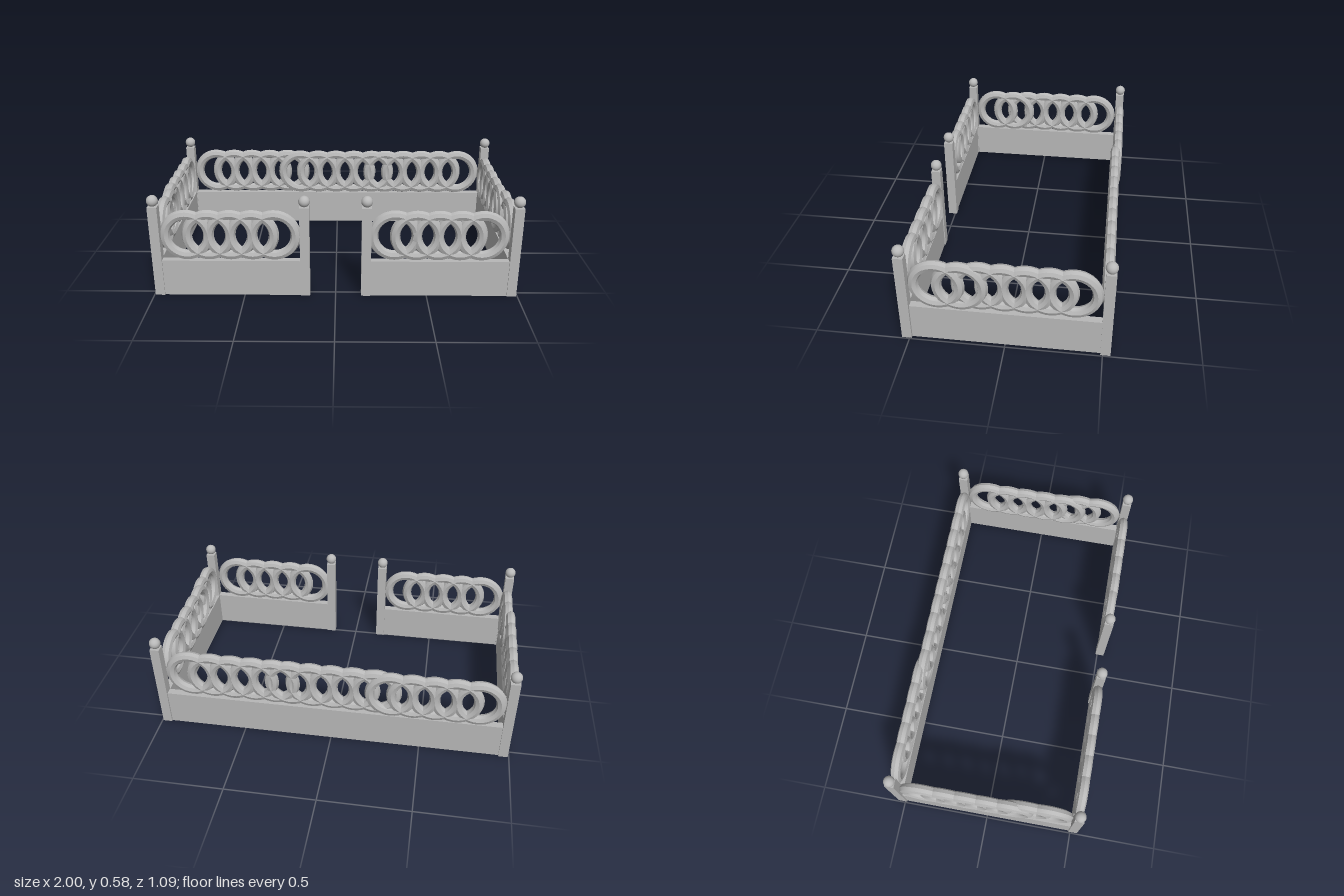
import * as THREE from 'three';
import { toCreasedNormals } from 'three/addons/utils/BufferGeometryUtils.js';

const POST_X = 0.968, POST_Z = 0.515, GATE_X = 0.166;
const POST_W = 0.052, POST_H = 0.52, WALL_H = 0.208, WALL_T = 0.04;
const RING_R = 0.117, TUBE_R = 0.028, RING_Y = 0.354, STEP = 0.1175;

export function createModel() {
  const group = new THREE.Group();
  const stone = new THREE.MeshStandardMaterial({ color: 0xb8b8b8 });
  stone.name = 'grey stone';

  const postGeo = new THREE.BoxGeometry(POST_W, POST_H, POST_W);
  const ballGeo = new THREE.SphereGeometry(0.031, 24, 16);
  const ringGeo = toCreasedNormals(new THREE.TorusGeometry(RING_R, TUBE_R, 8, 36), 0.6);

  function add(name, geometry, x, y, z, turn = 0) {
    const mesh = new THREE.Mesh(geometry, stone);
    mesh.name = name;
    mesh.position.set(x, y, z);
    mesh.rotation.y = turn;
    group.add(mesh);
  }

  // Square posts with ball finials
  function post(name, x, z) {
    add(name, postGeo, x, POST_H / 2, z);
    add(name + 'Ball', ballGeo, x, 0.55, z);
  }
  for (const s of [-1, 1]) {
    const side = s > 0 ? 'left' : 'right';
    post(side + 'FrontPost', s * POST_X, POST_Z);
    post(side + 'BackPost', s * POST_X, -POST_Z);
    post(side + 'GatePost', s * GATE_X, POST_Z);
  }

  // Low solid walls between the posts
  function wallX(name, x0, x1, z) {
    add(name, new THREE.BoxGeometry(x1 - x0, WALL_H, WALL_T), (x0 + x1) / 2, WALL_H / 2, z);
  }
  function wallZ(name, x) {
    add(name, new THREE.BoxGeometry(WALL_T, WALL_H, 2 * POST_Z), x, WALL_H / 2, 0);
  }
  wallX('rightFrontWall', -POST_X, -GATE_X, POST_Z);
  wallX('leftFrontWall', GATE_X, POST_X, POST_Z);
  wallX('backWall', -POST_X, POST_X, -0.512);
  wallZ('rightWall', -0.967);
  wallZ('leftWall', 0.96);

  // Rows of overlapping rings on top of the walls
  function ringsX(name, start, count, z) {
    for (let i = 0; i < count; i++) add(name, ringGeo, start + i * STEP, RING_Y, z);
  }
  function ringsZ(name, start, count, x) {
    for (let i = 0; i < count; i++) add(name, ringGeo, x, RING_Y, start + i * STEP, Math.PI / 2);
  }
  ringsX('rightFrontRing', -0.8, 5, 0.514);
  ringsX('leftFrontRing', 0.318, 1, 0.511);
  ringsX('leftFrontRing', 0.318 + STEP, 4, 0.514);
  ringsX('backRing', -0.8, 5, -0.517);
  ringsX('backRing', -0.243, 5, -0.504);
  ringsX('backRing', 0.318, 5, -0.503);
  for (const [name, x] of [['rightRing', -0.968], ['leftRing', 0.949]]) {
    ringsZ(name, -0.343, 5, x);
    ringsZ(name, 0.226, 2, x + 0.012);
  }
  return group;
}
